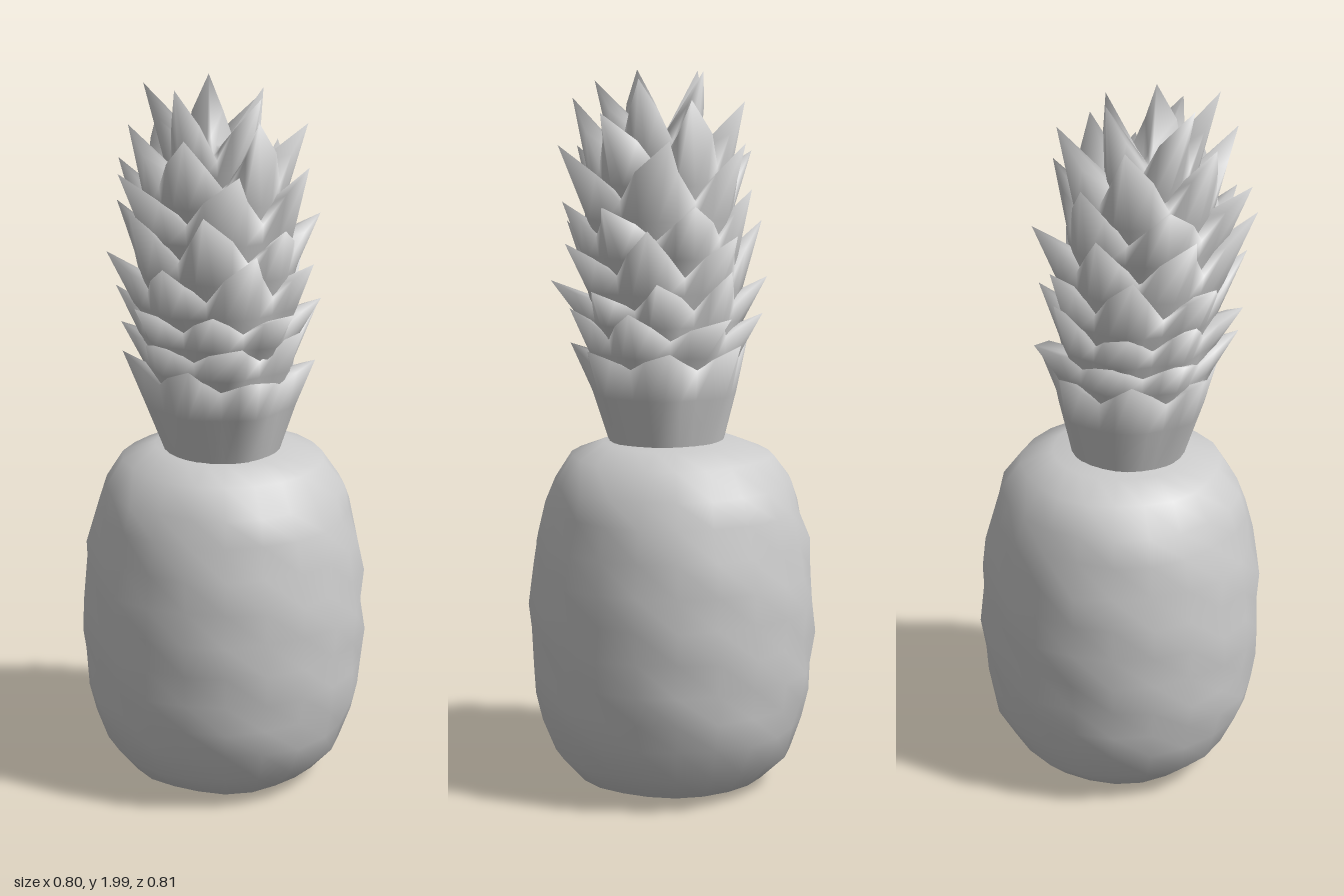
import * as THREE from 'three';
import { mergeVertices } from 'three/addons/utils/BufferGeometryUtils.js';

const material = new THREE.MeshStandardMaterial({ color: 0xcccccc, side: THREE.DoubleSide });

// Small repeatable random generator, -1..1
let seed = 7;
const rand = () => {
  seed = (seed * 16807) % 2147483647;
  return (seed / 2147483647) * 2 - 1;
};

// The crown leans gently as it rises
const leanX = (y) => -0.005 - 0.03 * (y - 1);
const leanZ = (y) => 0.025 + 0.06 * (y - 1);

// Plump fruit with shallow, staggered lumps
function makeFruit() {
  const profile = [
    [0, 0.005], [0.2, 0.012], [0.27, 0.03], [0.335, 0.1], [0.37, 0.19], [0.388, 0.27], [0.395, 0.35],
    [0.4, 0.44], [0.399, 0.53], [0.393, 0.62], [0.38, 0.71], [0.358, 0.8], [0.335, 0.87],
    [0.28, 0.945], [0.19, 0.98], [0, 1.0],
  ];
  let geometry = new THREE.LatheGeometry(profile.map(([r, y]) => new THREE.Vector2(r, y)), 22);
  geometry.deleteAttribute('uv');
  geometry.deleteAttribute('normal');
  geometry = mergeVertices(geometry);
  const p = geometry.attributes.position;
  for (let i = 0; i < p.count; i++) {
    const x = p.getX(i), y = p.getY(i), z = p.getZ(i);
    const a = Math.atan2(x, z);
    const k = 1 + 0.012 * Math.sin(5 * a + y * 30) + 0.012 * Math.cos(6 * a - y * 23);
    p.setX(i, x * k);
    p.setZ(i, z * k);
  }
  geometry.computeVertexNormals();
  return new THREE.Mesh(geometry, material);
}

// One tier of joined leaves: a cup with a jagged, flaring rim that folds back to the middle
function makeTier({ base, valley, tip, inner, count, turn }) {
  const [yBase, rBase] = base, [yValley, rValley] = valley, [yInner, rInner] = inner;
  const columns = count * 4;
  const rise = [0, 0.5, 1, 0.5];
  const flare = [0, 0.35, 1, 0.35];
  const rings = [[], [], [], []];
  for (let leaf = 0; leaf < count; leaf++) {
    const yTip = tip[0] + tip[2] * rand();
    const rTip = tip[1] + 0.022 * rand();
    const skew = 0.3 * rand();
    for (let k = 0; k < 4; k++) {
      const column = leaf * 4 + k;
      const angle = turn + (column / columns) * Math.PI * 2;
      const tipAngle = angle + (k === 2 ? (skew * Math.PI) / count : 0);
      const yRim = yValley + (yTip - yValley) * rise[k];
      const rRim = rValley + (rTip - rValley) * flare[k];
      const section = [
        [yBase, rBase, angle],
        [yBase + (yValley - yBase) * 0.65, rBase + (rValley - rBase) * 0.75 + (rRim - rValley) * 0.25, angle],
        [yRim, rRim, tipAngle],
        [yInner + (yRim - yValley) * 0.25, rInner, angle],
      ];
      section.forEach(([y, r, a], i) => {
        rings[i].push(leanX(y) + r * Math.sin(a), y, leanZ(y) + r * Math.cos(a));
      });
    }
  }
  const index = [];
  for (let ring = 0; ring < 3; ring++) {
    for (let i = 0; i < columns; i++) {
      const a = ring * columns + i, b = ring * columns + (i + 1) % columns;
      index.push(a, b, b + columns, a, b + columns, a + columns);
    }
  }
  // Close the middle
  const middle = 4 * columns;
  for (let i = 0; i < columns; i++) {
    index.push(3 * columns + i, 3 * columns + (i + 1) % columns, middle);
  }
  const positions = [...rings.flat(), leanX(yInner), yInner, leanZ(yInner)];
  const geometry = new THREE.BufferGeometry();
  geometry.setAttribute('position', new THREE.Float32BufferAttribute(positions, 3));
  geometry.setIndex(index);
  geometry.computeVertexNormals();
  return new THREE.Mesh(geometry, material);
}

export function createModel() {
  seed = 7;
  const model = new THREE.Group();
  model.name = 'pineapple';

  const fruit = makeFruit();
  fruit.name = 'fruit';
  model.add(fruit);

  const crown = new THREE.Group();
  crown.name = 'crown';
  // Base, valley and inner as height, radius; tip as height, radius, height variation
  const tiers = [
    { base: [0.96, 0.155], valley: [1.2, 0.21], tip: [1.26, 0.255, 0.02], inner: [1.19, 0.15], count: 7 },
    { base: [1.14, 0.18], valley: [1.28, 0.205], tip: [1.34, 0.285, 0.025], inner: [1.27, 0.15], count: 7 },
    { base: [1.23, 0.185], valley: [1.36, 0.21], tip: [1.44, 0.29, 0.03], inner: [1.35, 0.15], count: 8 },
    { base: [1.31, 0.185], valley: [1.45, 0.215], tip: [1.56, 0.29, 0.03], inner: [1.44, 0.15], count: 7 },
    { base: [1.4, 0.185], valley: [1.55, 0.215], tip: [1.67, 0.28, 0.03], inner: [1.54, 0.15], count: 7 },
    { base: [1.5, 0.18], valley: [1.65, 0.205], tip: [1.79, 0.27, 0.03], inner: [1.64, 0.14], count: 6 },
    { base: [1.6, 0.16], valley: [1.74, 0.185], tip: [1.91, 0.235, 0.03], inner: [1.73, 0.1], count: 6 },
    { base: [1.68, 0.1], valley: [1.81, 0.12], tip: [1.98, 0.16, 0.02], inner: [1.8, 0.04], count: 5 },
  ];
  tiers.forEach((tier, i) => {
    const mesh = makeTier({ ...tier, turn: i * 0.55 });
    mesh.name = `leafTier${i + 1}`;
    crown.add(mesh);
  });
  model.add(crown);
  return model;
}
